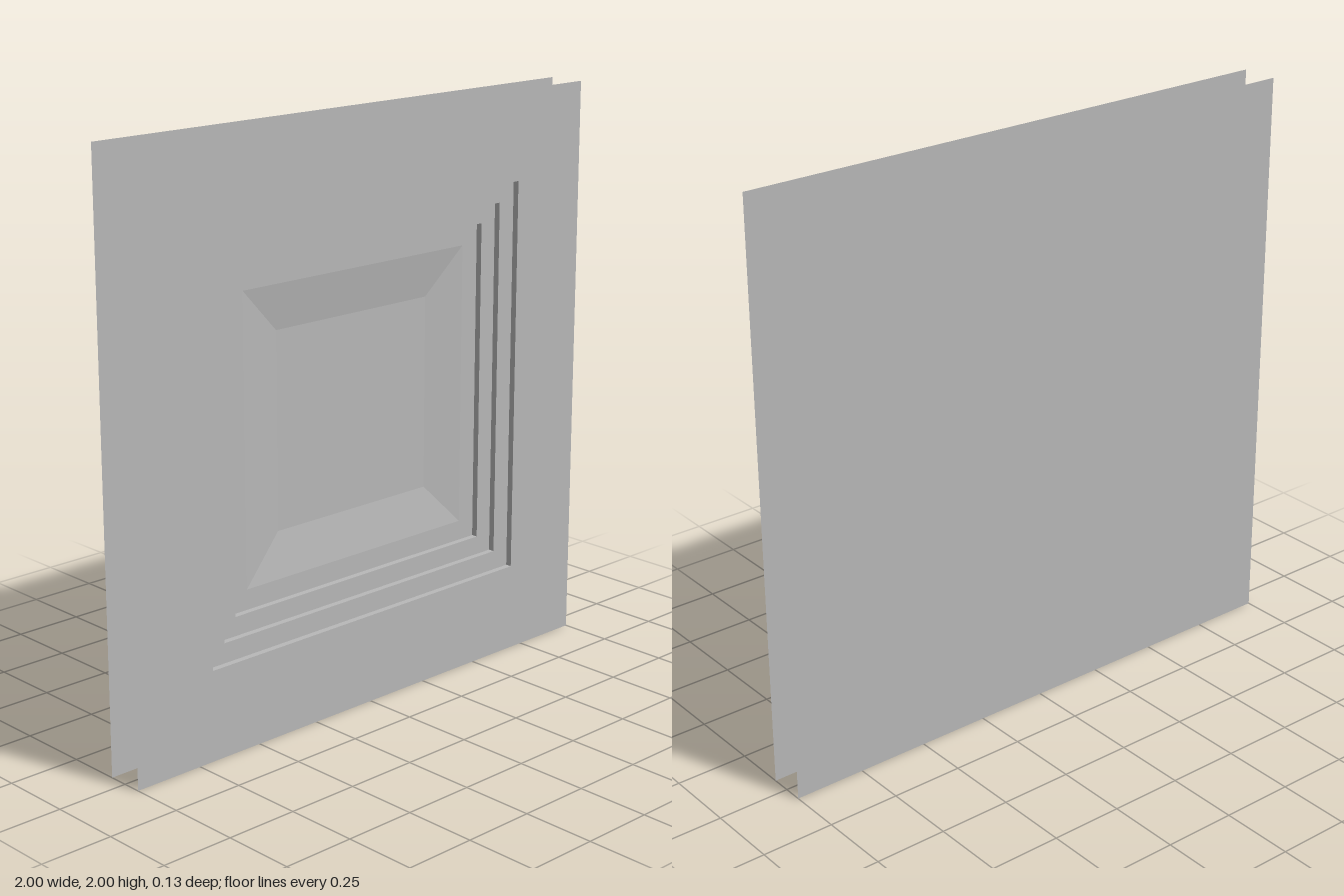
import * as THREE from 'three';

const plaster = new THREE.MeshStandardMaterial({ color: 0xb8b8b8, side: THREE.DoubleSide });
plaster.name = 'grey plaster';

const CENTRE_Y = 1;

// Four flat faces joining a square of half-size a at depth za to one of half-size b at depth zb
function squareRing(name, a, za, b, zb) {
  const corners = [[-1, -1], [1, -1], [1, 1], [-1, 1]];
  const positions = [];
  corners.forEach(([x0, y0], i) => {
    const [x1, y1] = corners[(i + 1) % 4];
    const p = [x0 * a, y0 * a, za], q = [x1 * a, y1 * a, za];
    const r = [x1 * b, y1 * b, zb], s = [x0 * b, y0 * b, zb];
    positions.push(...p, ...q, ...r, ...p, ...r, ...s);
  });
  const geometry = new THREE.BufferGeometry();
  geometry.setAttribute('position', new THREE.Float32BufferAttribute(positions, 3));
  geometry.computeVertexNormals();
  return addName(new THREE.Mesh(geometry, plaster), name);
}

function squarePlate(name, half, z) {
  const mesh = new THREE.Mesh(new THREE.PlaneGeometry(half * 2, half * 2), plaster);
  mesh.position.z = z;
  return addName(mesh, name);
}

function addName(mesh, name) {
  mesh.name = name;
  return mesh;
}

export function createModel() {
  const model = new THREE.Group();
  model.name = 'cofferedPanel';

  // Recess profile from the outer edge inwards: [part, half-size, depth]
  const profile = [
    ['outerEdge', 1, 0.065],
    ['frontSheet', 0.691, 0.065],
    ['firstStepWall', 0.691, 0.0433],
    ['firstStepLedge', 0.623, 0.0433],
    ['secondStepWall', 0.623, 0.0217],
    ['secondStepLedge', 0.558, 0.0217],
    ['thirdStepWall', 0.558, 0],
    ['thirdStepLedge', 0.489, 0],
    ['slopedBevel', 0.334, -0.0217],
  ];
  for (let i = 1; i < profile.length; i++) {
    const [, a, za] = profile[i - 1];
    const [name, b, zb] = profile[i];
    model.add(squareRing(name, a, za, b, zb));
  }

  // Flat centre of the recess
  model.add(squarePlate('centrePanel', 0.334, -0.0217));

  // Plain back sheet, facing backwards; the sides between the sheets are open
  const back = squarePlate('backSheet', 1, -0.065);
  back.rotation.y = Math.PI;
  model.add(back);

  model.children.forEach((part) => { part.position.y = CENTRE_Y; });
  return model;
}
